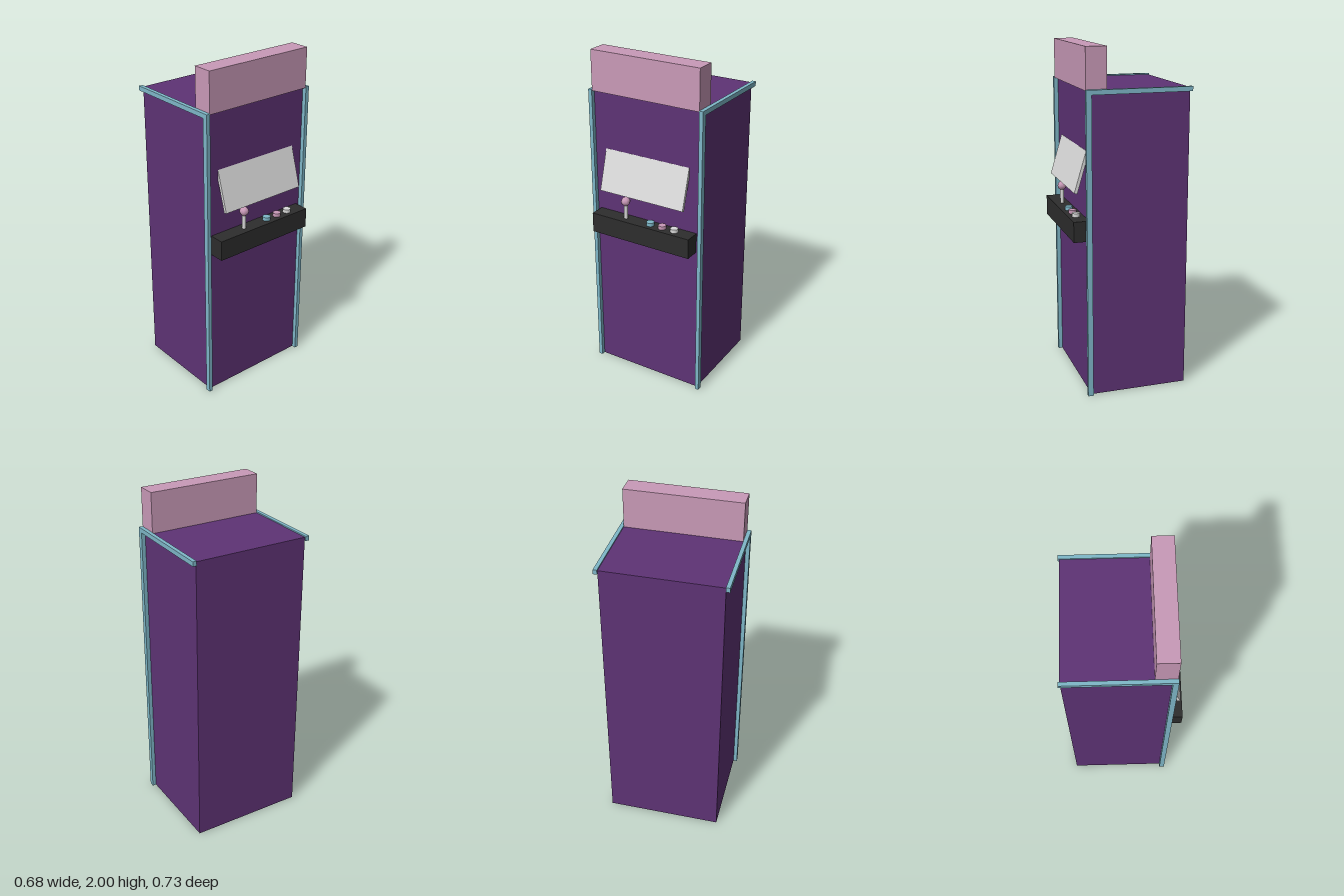
import * as THREE from 'three';

const flat = (name, color) => {
  const m = new THREE.MeshStandardMaterial({ color });
  m.name = name;
  return m;
};

export function createModel() {
  const purple = flat('purple', 0x5e3375);
  const pink = flat('pink', 0xc99ab8);
  const cyan = flat('cyan', 0x7fb8c9);
  const black = flat('black', 0x2d2d2d);
  const pale = flat('pale grey', 0xdadada);

  const group = new THREE.Group();
  group.name = 'arcadeCabinet';

  const add = (name, geometry, material, x, y, z) => {
    const mesh = new THREE.Mesh(geometry, material);
    mesh.name = name;
    mesh.position.set(x, y, z);
    group.add(mesh);
    return mesh;
  };

  // Box given by its lower and upper corners
  const box = (name, material, [x0, y0, z0], [x1, y1, z1]) =>
    add(name, new THREE.BoxGeometry(x1 - x0, y1 - y0, z1 - z0), material,
      (x0 + x1) / 2, (y0 + y1) / 2, (z0 + z1) / 2);

  // Cabinet and marquee
  box('cabinetBody', purple, [-0.33, 0, -0.343], [0.247, 1.766, 0.343]);
  box('marquee', pink, [0.15, 1.766, -0.343], [0.268, 2, 0.343]);

  // Edge trims on both sides
  for (const [side, z0, z1] of [['left', 0.343, 0.366], ['right', -0.366, -0.343]]) {
    box(side + 'FrontTrim', cyan, [0.241, 0, z0], [0.272, 1.746, z1]);
    box(side + 'TopTrim', cyan, [-0.338, 1.746, z0], [0.272, 1.773, z1]);
  }

  // Control shelf
  box('controlPanel', black, [0.24, 0.925, -0.323], [0.337, 1.044, 0.323]);

  // Screen leaning back into the cabinet
  const screen = add('screen', new THREE.BoxGeometry(0.018, 0.246, 0.547), pale, 0.275, 1.31, 0);
  screen.rotation.z = 0.29;

  // Joystick
  add('joystickShaft', new THREE.CylinderGeometry(0.012, 0.012, 0.1, 8), pale, 0.289, 1.09, 0.12);
  add('joystickBall', new THREE.SphereGeometry(0.027, 8, 6), pink, 0.289, 1.15, 0.12);

  // Buttons
  [cyan, pink, pale].forEach((material, i) =>
    add('button' + (i + 1), new THREE.CylinderGeometry(0.023, 0.023, 0.024, 12), material,
      0.292, 1.053, -0.048 - i * 0.079));

  return group;
}
